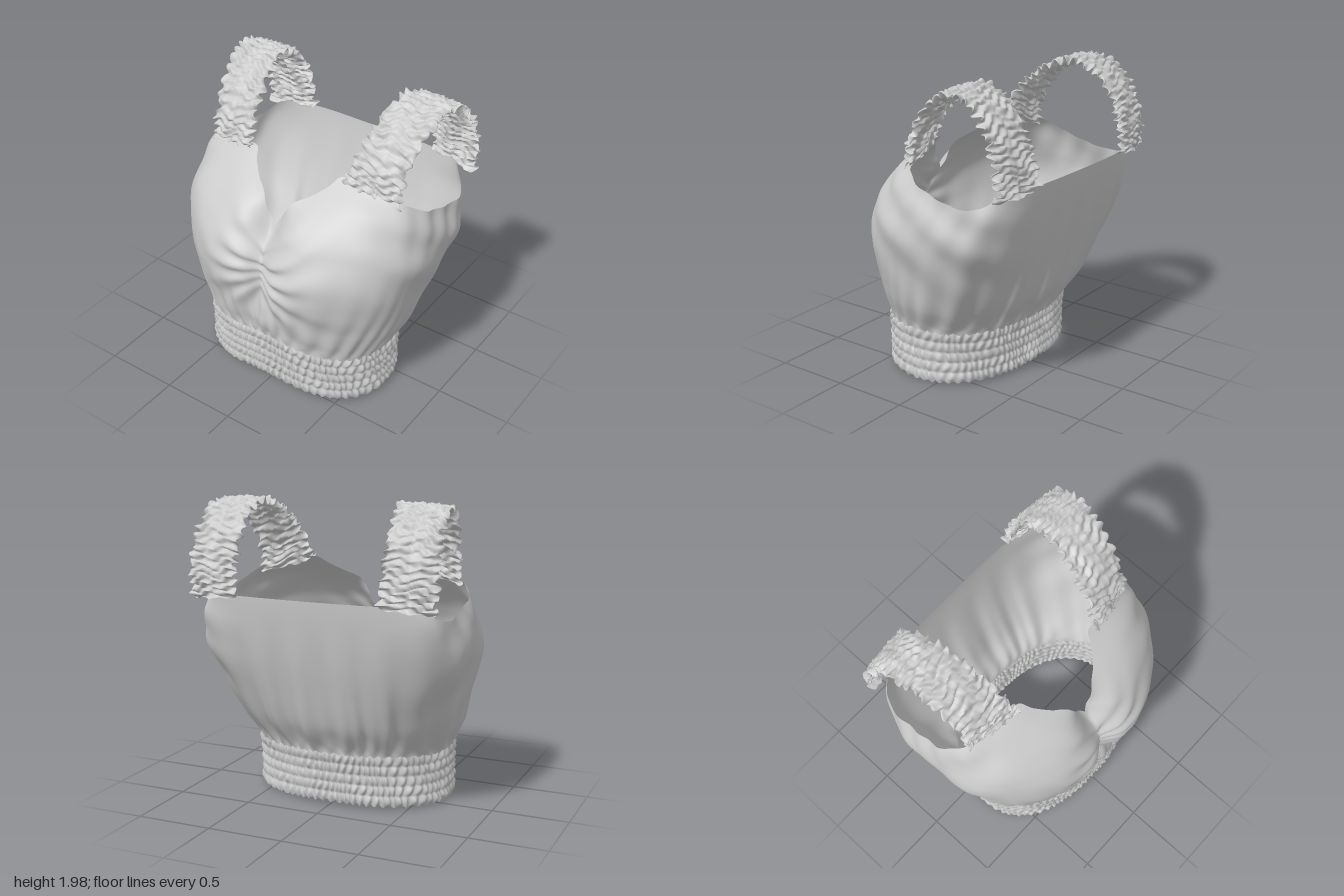
import * as THREE from 'three';

const { sin, cos, abs, exp, max, PI } = Math;
const gauss = (d, w) => exp(-(d / w) * (d / w));
const smooth = THREE.MathUtils.smoothstep;
const lerp = THREE.MathUtils.lerp;

// Smooth curve through [position, value] pairs
function profile(pts) {
  const slope = pts.map((p, i) => {
    const a = pts[max(0, i - 1)], b = pts[Math.min(pts.length - 1, i + 1)];
    return (b[1] - a[1]) / (b[0] - a[0]);
  });
  return (x) => {
    if (x <= pts[0][0]) return pts[0][1];
    if (x >= pts[pts.length - 1][0]) return pts[pts.length - 1][1];
    let i = 0;
    while (x > pts[i + 1][0]) i++;
    const h = pts[i + 1][0] - pts[i][0], t = (x - pts[i][0]) / h, t2 = t * t, t3 = t2 * t;
    return (2 * t3 - 3 * t2 + 1) * pts[i][1] + (t3 - 2 * t2 + t) * h * slope[i]
      + (3 * t2 - 2 * t3) * pts[i + 1][1] + (t3 - t2) * h * slope[i + 1];
  };
}

// Grid surface from fn(u, v), closing in either direction on request
function sheet(nu, nv, closeU, closeV, fn) {
  const pos = [], idx = [];
  const cu = closeU ? nu : nu + 1, cv = closeV ? nv : nv + 1;
  for (let j = 0; j < cv; j++)
    for (let i = 0; i < cu; i++) pos.push(...fn(i / nu, j / nv));
  for (let j = 0; j < nv; j++)
    for (let i = 0; i < nu; i++) {
      const i2 = (i + 1) % cu, j2 = (j + 1) % cv;
      const a = j * cu + i, b = j * cu + i2, c = j2 * cu + i2, d = j2 * cu + i;
      idx.push(a, b, d, b, c, d);
    }
  const g = new THREE.BufferGeometry();
  g.setAttribute('position', new THREE.Float32BufferAttribute(pos, 3));
  g.setIndex(idx);
  g.computeVertexNormals();
  return g;
}

// Body outline by height: half width, front depth, back depth, centre of the ring
const halfWidth = profile([[0, 0.655], [0.35, 0.66], [0.6, 0.745], [0.8, 0.805], [1.0, 0.865], [1.1, 0.875], [1.2, 0.86], [1.3, 0.835], [1.4, 0.805], [1.5, 0.76], [1.6, 0.71]]);
const frontZ = profile([[0, 0.6], [0.36, 0.61], [0.6, 0.62], [0.8, 0.65], [1.0, 0.645], [1.2, 0.585], [1.3, 0.515], [1.4, 0.405], [1.5, 0.27], [1.6, 0.14]]);
const backZ = profile([[0, -0.32], [0.36, -0.34], [0.6, -0.45], [0.8, -0.52], [1.0, -0.58], [1.2, -0.625], [1.4, -0.655], [1.6, -0.66]]);
const centreZ = profile([[0, 0.14], [0.36, 0.13], [0.8, 0], [1.2, -0.1], [1.6, -0.1]]);

// Neckline, armhole and back edge height by angle from the front, in degrees
const topEdge = profile([[0, 1.22], [5, 1.29], [11, 1.385], [23, 1.44], [36, 1.495], [49, 1.55], [62, 1.52], [73, 1.46], [83, 1.38], [90, 1.345], [100, 1.31], [110, 1.3], [117, 1.33], [122, 1.39], [128, 1.4], [180, 1.4]]);
const arch = (phi) => Math.pow(max(0, cos(phi)), 4);
const bandTop = (phi) => 0.365 + 0.09 * arch(phi);
const bandBottom = (phi) => 0.015 + 0.02 * abs(cos(phi)) + 0.075 * arch(phi);

// Rounded-box ring: point at angle phi and height y, pushed out by d
function ring(phi, y, d) {
  const s = sin(phi), c = cos(phi), zc = centreZ(y);
  const n = lerp(2.3, c < 0 ? 4.2 : 2.55, smooth(y, 0.4, c < 0 ? 1.35 : 0.9));
  const depth = c > 0 ? frontZ(y) - zc : zc - backZ(y);
  const r = Math.pow(Math.pow(abs(s) / halfWidth(y), n) + Math.pow(abs(c) / depth, n), -1 / n) + d;
  return [r * s, y, zc + r * c];
}

// Draped fabric: bust, centre gather and folds
function bodicePoint(u, v) {
  const phi = u * 2 * PI, c = cos(phi);
  const y = lerp(bandTop(phi) - 0.015, topEdge(u < 0.5 ? u * 360 : 360 - u * 360), v);
  const [x0, , z0] = ring(phi, y, 0);
  const x = abs(x0), front = smooth(c, 0.0, 0.5), back = smooth(-c, -0.2, 0.5);
  const side = 1 - smooth(abs(c), 0.35, 0.85), low = 1 - v;
  let d = 0;
  d += front * 0.045 * gauss(x - 0.3, 0.22) * gauss(y - 0.97, 0.28);
  // centre seam sinking towards the neckline
  const sink = smooth(y, 1.05, 1.22);
  d -= front * lerp(0.055, 0.115, sink) * gauss(x, lerp(0.08, 0.12, sink)) * smooth(y, 0.55, 0.8) * (1 - smooth(y, 1.26, 1.42));
  // folds fanning out of the centre gather
  const fan = Math.atan2(y - 0.95, x + 0.12);
  d += front * 0.015 * sin(fan * 16 + 0.8 * sin(x * 9 + x0 * 2)) * gauss(x - 0.13, 0.18) * gauss(y - 1.0, 0.32);
  d += front * 0.009 * sin(fan * 10 + x0 * 2) * gauss(x - 0.42, 0.22) * smooth(y, 0.85, 1.15);
  // folds spreading from under the bust down to the band
  const spread = Math.atan2(x0, 0.95 - y);
  d += front * 0.012 * sin(spread * 11 + 0.5) * smooth(y, 0.44, 0.55) * (1 - smooth(y, 0.68, 0.86)) * gauss(x, 0.5);
  // pleats rising from the band
  d += 0.011 * low * low * low * sin(phi * 34 + 2 * sin(phi * 5)) * smooth(v, 0, 0.06);
  d += 0.018 * smooth(low, 0, 0.4) * low * sin(phi * 17 + 1.8 * sin(phi * 3) + 0.5 * y) * back * smooth(v, 0, 0.15);
  d += 0.03 * smooth(v, 0, 0.2) * low * low;
  // slanting folds at the sides and below the armholes
  d += side * 0.008 * sin(17 * (y - 0.75 * z0) + 2 * sin(y * 4 + x0)) * smooth(v, 0.1, 0.5);
  d += side * 0.006 * sin(34 * (z0 + 0.45 * y)) * smooth(v, 0.6, 0.95);
  return ring(phi, y, d);
}

// Shirred waistband: long vertical crinkles pinched by stitched rows
function bandPoint(u, v) {
  const phi = u * 2 * PI, rows = 5;
  const y = lerp(bandBottom(phi), bandTop(phi), v);
  const puff = abs(sin(v * rows * PI));
  const k = v * rows;
  const crinkle = 0.65 * sin(phi * 84 + 2.5 * sin(phi * 11 + k * 0.9) + 0.8 * sin(k * 2.3))
    + 0.35 * sin(phi * 53 + 2 * sin(phi * 7 - k * 1.4));
  const edge = max(gauss(v, 0.06), gauss(v - 1, 0.06));
  const p = ring(phi, y, 0.003 + 0.009 * puff + 0.012 * crinkle * (0.5 + 0.5 * puff));
  p[1] += 0.008 * edge * sin(phi * 61 + 2 * sin(phi * 7));
  return p;
}

// Shirred shoulder strap lofted between an inner and an outer edge curve
function strapGeometry(side) {
  const curve = (pts) => new THREE.CatmullRomCurve3(pts.map(([x, y, z]) => new THREE.Vector3(side * x, y, z)));
  const inner = curve([[0.36, 1.53, 0.22], [0.385, 1.68, 0.14], [0.42, 1.86, -0.03], [0.455, 1.955, -0.24], [0.48, 1.9, -0.43], [0.49, 1.73, -0.57], [0.485, 1.55, -0.635], [0.48, 1.39, -0.66]]);
  const outer = curve([[0.7, 1.43, 0.14], [0.705, 1.6, 0.12], [0.74, 1.83, -0.03], [0.775, 1.945, -0.24], [0.8, 1.89, -0.42], [0.815, 1.71, -0.55], [0.82, 1.53, -0.6], [0.8, 1.36, -0.59]]);
  const rows = 7;
  const w = new THREE.Vector3(), n = new THREE.Vector3();
  return sheet(220, 56, false, true, (s, v) => {
    const a = -side * v * 2 * PI;
    const across = cos(a), t = 0.5 + 0.5 * across;
    const p0 = inner.getPoint(s), p1 = outer.getPoint(s);
    const tan = inner.getTangent(s).lerp(outer.getTangent(s), t).normalize();
    w.subVectors(p1, p0).normalize();
    n.crossVectors(w, tan).normalize().multiplyScalar(side);
    const k = t * rows, edge = smooth(abs(across), 0.75, 1);
    const puff = abs(cos(k * PI));
    const wave = 0.7 * sin(s * 2 * PI * 27 + 2.2 * sin(s * 23 + k * 1.3) + 1.2 * sin(k * 1.7))
      + 0.4 * sin(s * 2 * PI * 17 + 2 * sin(s * 31 - k * 1.1));
    const lift = wave * (0.007 + 0.007 * puff + 0.013 * edge) - side * sin(a) * 0.024 * (0.6 + 0.4 * puff);
    const ruffle = edge * Math.sign(across) * (0.006 + 0.012 * sin(s * 2 * PI * 21 + 2 * sin(s * 17)) + 0.008 * sin(s * 59));
    return p0.lerp(p1, t).addScaledVector(n, lift).addScaledVector(w, ruffle)
      .addScaledVector(tan, 0.006 * sin(s * 150 + k * 2.3)).toArray();
  });
}

export function createModel() {
  const group = new THREE.Group();
  group.name = 'croppedTop';
  const fabric = new THREE.MeshStandardMaterial({ color: 0xcccccc, side: THREE.DoubleSide });
  const add = (name, geometry) => {
    const mesh = new THREE.Mesh(geometry, fabric);
    mesh.name = name;
    group.add(mesh);
  };
  add('bodice', sheet(288, 72, true, false, bodicePoint));
  add('waistband', sheet(480, 40, true, false, bandPoint));
  add('leftStrap', strapGeometry(1));
  add('rightStrap', strapGeometry(-1));
  return group;
}
